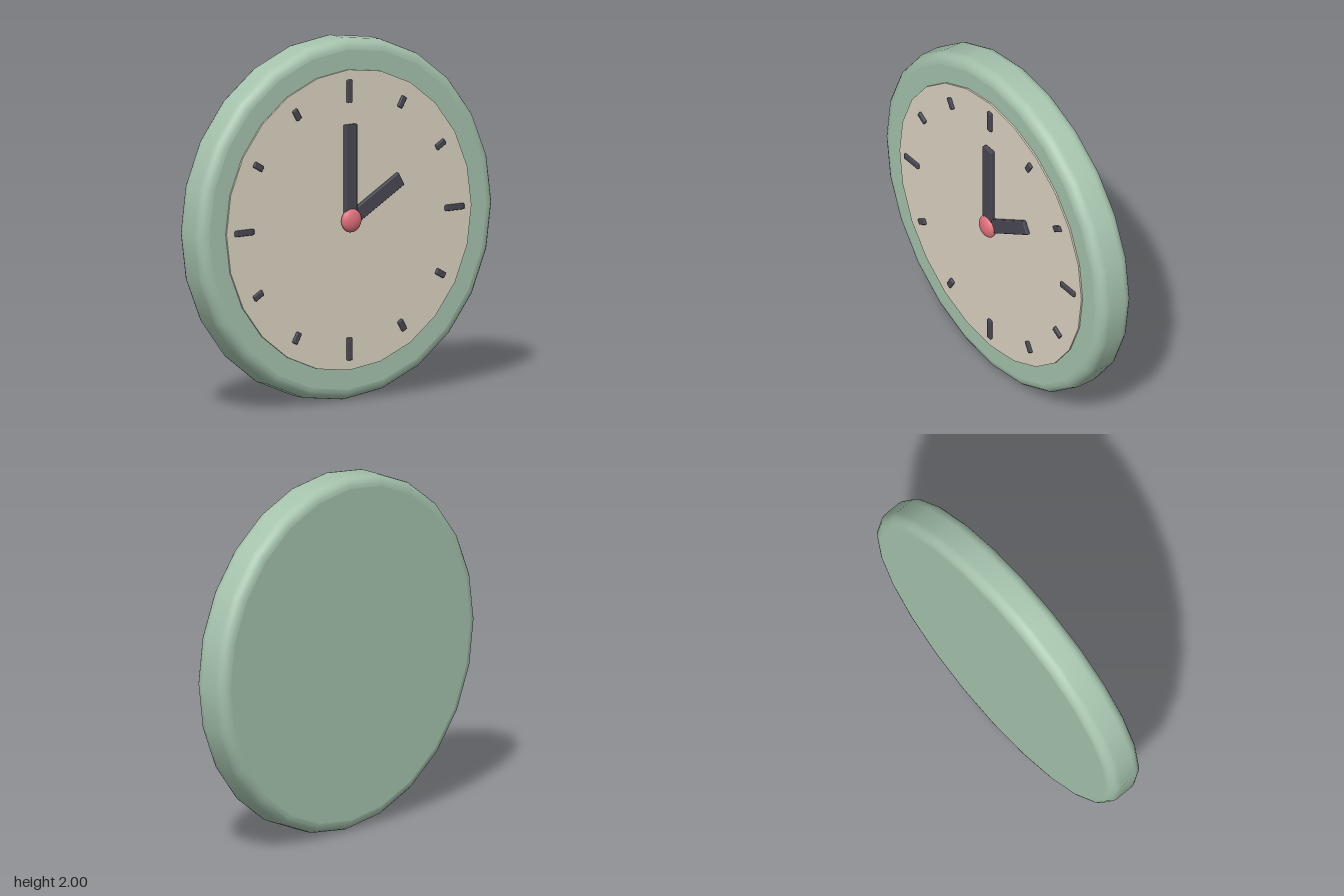
import * as THREE from 'three';
import { RoundedBoxGeometry } from 'three/addons/geometries/RoundedBoxGeometry.js';

const SIDES = 24, CENTRE_Y = 1;
const FRONT = 0.08, BACK = -0.14, BEVEL = 0.06;

function material(name, color) {
  const m = new THREE.MeshStandardMaterial({ color });
  m.name = name;
  return m;
}

export function createModel() {
  const green = material('sageGreen', 0xa6c4ae);
  const cream = material('cream', 0xddd4c4);
  const dark = material('charcoal', 0x4a4853);
  const red = material('coralRed', 0xe0707a);

  const clock = new THREE.Group();
  clock.name = 'wallClock';
  const dial = new THREE.Group();
  dial.name = 'clockBody';
  dial.position.y = CENTRE_Y;
  clock.add(dial);

  function add(name, geometry, mat, parent = dial) {
    const mesh = new THREE.Mesh(geometry, mat);
    mesh.name = name;
    parent.add(mesh);
    return mesh;
  }

  // Case: a thick disc with rounded rims, turned to face +z
  const profile = [[0, BACK], [0.999 - BEVEL, BACK]];
  for (const [z, start] of [[BACK + BEVEL, -90], [FRONT - BEVEL, 0]]) {
    for (let i = 0; i <= 5; i++) {
      const a = THREE.MathUtils.degToRad(start + i * 18);
      profile.push([1 - BEVEL + BEVEL * Math.cos(a), z + BEVEL * Math.sin(a)]);
    }
  }
  profile.push([0.999 - BEVEL, FRONT], [0, FRONT]);
  const caseGeometry = new THREE.LatheGeometry(profile.map(([r, z]) => new THREE.Vector2(r, z)), SIDES);
  add('case', caseGeometry.rotateX(Math.PI / 2), green);

  // Face plate
  const face = new THREE.CylinderGeometry(0.83, 0.83, 0.009, SIDES).rotateX(Math.PI / 2);
  add('face', face, cream).position.z = FRONT + 0.0045;

  // A bar lying on the dial, from radius r0 to r1, turned clockwise by hours
  function bar(name, hour, r0, r1, width, z0, z1) {
    const depth = z1 - z0;
    const geometry = new RoundedBoxGeometry(width, r1 - r0, depth, 2, 0.006);
    geometry.translate(0, (r0 + r1) / 2, (z0 + z1) / 2);
    add(name, geometry, dark).rotation.z = -hour * Math.PI / 6;
  }

  // Hour marks, longer at the quarters
  for (let hour = 0; hour < 12; hour++) {
    const half = hour % 3 === 0 ? 0.063 : 0.033;
    bar('hourMark' + hour, hour, 0.712 - half, 0.712 + half, 0.034, 0.08, 0.102);
  }

  // Hands
  bar('minuteHand', 0, -0.02, 0.53, 0.08, 0.088, 0.115);
  bar('hourHand', 2, -0.02, 0.395, 0.08, 0.087, 0.112);

  // Flattened centre cap
  const cap = add('centreCap', new THREE.SphereGeometry(0.065, 24, 16), red);
  cap.scale.z = 0.5;
  cap.position.z = 0.11;

  // Centre the whole depth on z = 0
  return clock;
}
